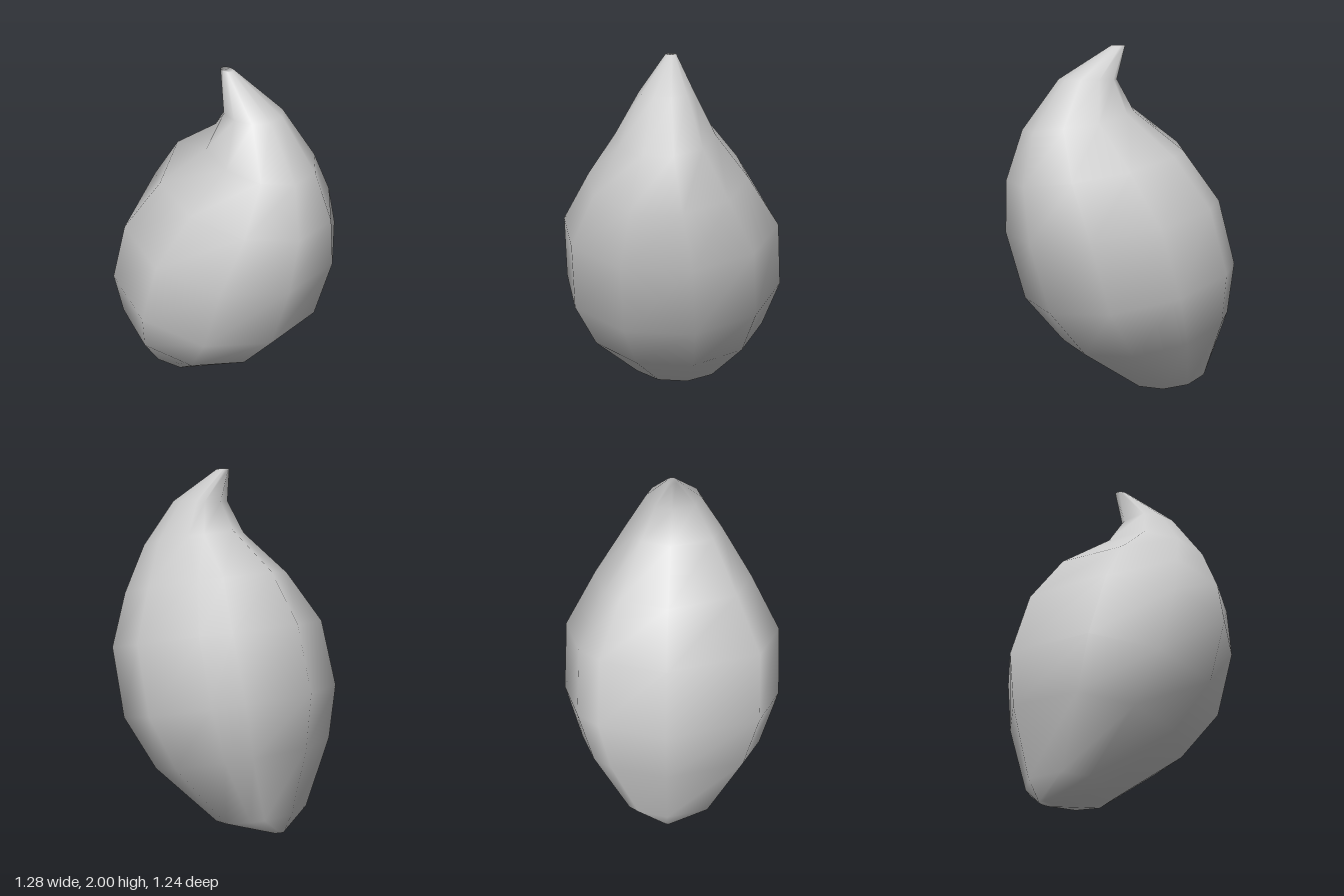
import * as THREE from 'three';

// Tilted cross-sections: left x, left y, right x, right y, half depth
const SECTIONS = [
  [-0.45, 0.015, -0.37, 0.0, 0.03],
  [-0.51, 0.13, -0.07, 0.05, 0.28],
  [-0.61, 0.52, 0.30, 0.31, 0.52],
  [-0.64, 0.82, 0.52, 0.58, 0.62],
  [-0.54, 1.18, 0.63, 0.97, 0.605],
  [-0.35, 1.45, 0.64, 1.27, 0.44],
  [-0.06, 1.66, 0.56, 1.55, 0.27],
  [0.04, 1.82, 0.36, 1.82, 0.15],
  [-0.02, 2.0, 0.06, 2.0, 0.03],
];

// Directions of the ring corners in degrees; flat edge at +x, ridge at -x
const ANGLES = [18, 54, 90, 126, 180, 217, 234, 270, 306, 342];

function loftGeometry() {
  const n = ANGLES.length;
  const positions = [];
  const index = [];
  const reach = Math.cos(THREE.MathUtils.degToRad(ANGLES[0]));

  for (const [lx, ly, rx, ry, depth] of SECTIONS) {
    const radius = (rx - lx) / (1 + reach);
    const centre = lx + radius;
    for (const degrees of ANGLES) {
      const t = THREE.MathUtils.degToRad(degrees);
      const x = centre + radius * Math.cos(t);
      const y = ly + (ry - ly) * (x - lx) / (rx - lx);
      positions.push(x, y, depth * Math.sin(t));
    }
  }

  // Skin between neighbouring sections
  for (let i = 0; i < SECTIONS.length - 1; i++) {
    for (let j = 0; j < n; j++) {
      const k = (j + 1) % n;
      const a = i * n + j, b = i * n + k;
      index.push(a, a + n, b, b, a + n, b + n);
    }
  }

  // Small caps at the base and the tip
  const top = (SECTIONS.length - 1) * n;
  for (let j = 1; j < n - 1; j++) {
    index.push(0, j, j + 1);
    index.push(top, top + j + 1, top + j);
  }

  const geometry = new THREE.BufferGeometry();
  geometry.setAttribute('position', new THREE.Float32BufferAttribute(positions, 3));
  geometry.setIndex(index);
  geometry.computeVertexNormals();
  return geometry;
}

export function createModel() {
  const model = new THREE.Group();
  model.name = 'leaningBud';

  // Plump body that leans over and ends in a hooked tip
  const body = new THREE.Mesh(
    loftGeometry(),
    new THREE.MeshStandardMaterial({ color: 0xcccccc }),
  );
  body.name = 'budBody';
  model.add(body);
  return model;
}
